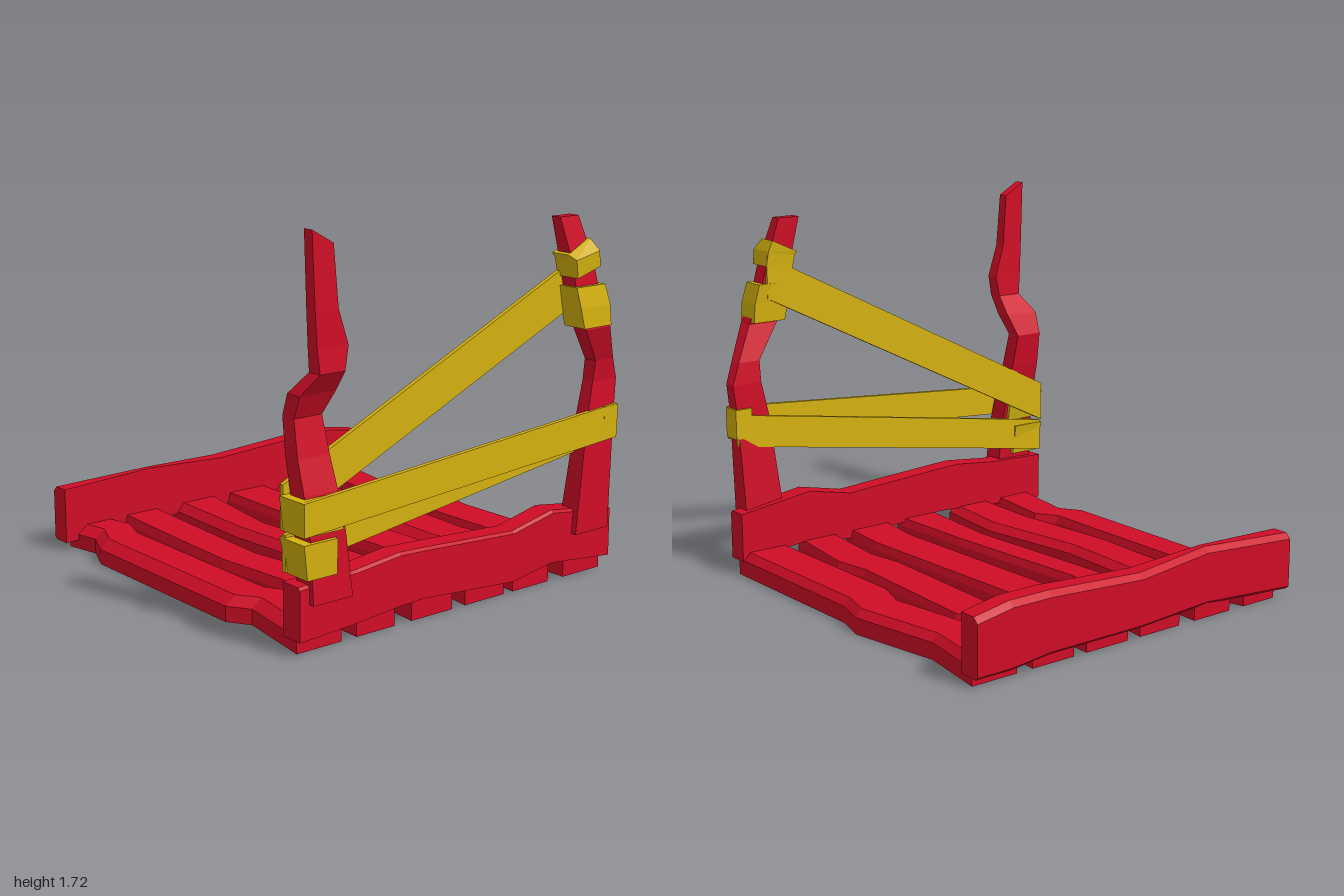
import * as THREE from 'three';

const red = new THREE.MeshStandardMaterial({ color: 0xcf0d26, flatShading: true });
const yellow = new THREE.MeshStandardMaterial({ color: 0xd4b10f, flatShading: true });

// Skin a list of rings (arrays of [x,y,z], counter-clockwise seen from the far end) and cap both ends.
function loft(rings) {
  const pos = [];
  const tri = (a, b, c) => pos.push(...a, ...b, ...c);
  const n = rings[0].length;
  for (let k = 0; k < rings.length - 1; k++) {
    const a = rings[k], b = rings[k + 1];
    for (let i = 0; i < n; i++) {
      const j = (i + 1) % n;
      tri(a[i], a[j], b[j]);
      tri(a[i], b[j], b[i]);
    }
  }
  const s = rings[0], e = rings[rings.length - 1];
  for (let i = 1; i < n - 1; i++) {
    tri(s[0], s[i + 1], s[i]);
    tri(e[0], e[i], e[i + 1]);
  }
  const g = new THREE.BufferGeometry();
  g.setAttribute('position', new THREE.Float32BufferAttribute(pos, 3));
  g.computeVertexNormals();
  return g;
}

// Floor plank along x: stations [x, zBack, zFront], top edges drawn in by the insets
const plank = (stations, inBack, inFront) => loft(stations.map(([x, z0, z1]) => [
  [x, 0, z0], [x, 0.075, z0], [x, 0.11, z0 + inBack],
  [x, 0.11, z1 - inFront], [x, 0.07, z1], [x, 0, z1]]));

// Rail along z: stations [z, x0, x1, y0, y1], outer top edge chamfered on the given side
const rail = (stations, chL, chR) => loft(stations.map(([z, x0, x1, y0, y1]) => [
  [x0 + chL * 0.5, y0, z], [x1, y0, z], [x1, y1 - chR, z],
  [x1 - chR, y1, z], [x0 + chL, y1, z], [x0, y1 - chL, z], [x0, y0 + chL * 0.5, z]]));

// Post along y: stations [y, x0, x1, z0, z1, yTilt]; yTilt raises the front edge
const post = (stations) => loft(stations.map(([y, x0, x1, z0, z1, t = 0]) => [
  [x0, y + t, z1], [x1, y + t, z1], [x1, y, z0], [x0, y, z0]]));

// Thin board along z between two ends [z, x, y0, y1]
const board = (ends, t = 0.022) => loft(ends.map(([z, x, y0, y1]) => [
  [x - t / 2, y0, z], [x + t / 2, y0, z], [x + t / 2, y1, z], [x - t / 2, y1, z]]));

export function createModel() {
  const model = new THREE.Group();
  const add = (name, geometry, material) => {
    const m = new THREE.Mesh(geometry, material);
    m.name = name;
    model.add(m);
  };

  // Floor planks, back to front
  const planks = [
    [[[-0.95, -0.87, -0.64], [-0.62, -0.82, -0.61], [-0.18, -0.9, -0.68], [-0.03, -0.86, -0.63],
      [0.83, -0.875, -0.645]], 0.03, 0.01],
    [[[-0.95, -0.56, -0.34], [-0.6, -0.53, -0.31], [-0.48, -0.6, -0.36], [0.24, -0.57, -0.34],
      [0.42, -0.6, -0.37], [0.83, -0.55, -0.33]], 0.01, 0.04],
    [[[-0.95, -0.27, -0.04], [-0.4, -0.255, -0.04], [0.55, -0.3, -0.08], [0.83, -0.275, -0.045]], 0.01, 0.012],
    [[[-0.95, 0.03, 0.26], [-0.4, 0.11, 0.28], [0.35, 0.05, 0.225], [0.83, 0.03, 0.26]], 0.012, 0.035],
    [[[-0.95, 0.35, 0.565], [-0.4, 0.375, 0.59], [-0.06, 0.39, 0.6], [0.45, 0.315, 0.55],
      [0.83, 0.355, 0.56]], 0.035, 0.012],
    [[[-0.95, 0.655, 0.845], [-0.78, 0.61, 0.81], [-0.63, 0.66, 0.875], [0.35, 0.66, 0.875],
      [0.45, 0.595, 0.81], [0.83, 0.64, 0.87]], 0.012, 0.05],
  ];
  planks.forEach(([s, b, f], i) => add(`floorPlank${i + 1}`, plank(s, b, f), red));

  // Side rails
  add('rightRail', rail([
    [-0.88, -1, -0.895, 0.04, 0.3], [-0.7, -1, -0.895, 0.04, 0.33], [-0.5, -1, -0.895, 0.06, 0.33],
    [0, -1, -0.9, 0.06, 0.3], [0.42, -0.955, -0.9, 0.06, 0.32], [0.9, -0.99, -0.89, 0.04, 0.3]], 0.025, 0), red);
  add('leftRail', rail([
    [-0.88, 0.785, 0.885, 0.07, 0.3], [-0.51, 0.78, 0.89, 0.11, 0.35], [-0.28, 0.78, 0.885, 0.07, 0.3],
    [0.25, 0.78, 0.885, 0.11, 0.33], [0.37, 0.78, 0.885, 0.105, 0.335], [0.6, 0.78, 0.885, 0.085, 0.31],
    [0.9, 0.78, 0.89, 0.07, 0.3]], 0, 0.012), red);

  // Crooked corner posts
  add('frontPost', post([
    [0.22, 0.81, 0.915, 0.65, 0.85], [0.5, 0.8, 0.9, 0.675, 0.855], [0.66, 0.78, 0.87, 0.69, 0.86],
    [0.8, 0.75, 0.83, 0.7, 0.86], [0.96, 0.725, 0.8, 0.715, 0.855], [1.06, 0.77, 0.85, 0.685, 0.865],
    [1.15, 0.845, 0.915, 0.69, 0.815], [1.25, 0.85, 0.91, 0.67, 0.825], [1.4, 0.855, 0.91, 0.72, 0.835],
    [1.655, 0.855, 0.905, 0.74, 0.845, 0.06]]), red);
  add('backPost', post([
    [0.22, 0.81, 0.915, -0.835, -0.63], [0.75, 0.845, 0.915, -0.85, -0.685], [0.9, 0.845, 0.905, -0.87, -0.72],
    [1.0, 0.855, 0.92, -0.83, -0.72], [1.16, 0.905, 0.98, -0.74, -0.59], [1.3, 0.885, 0.96, -0.69, -0.55],
    [1.45, 0.87, 0.95, -0.655, -0.53], [1.65, 0.86, 0.91, -0.595, -0.485]]), red);

  // Boards between the posts
  add('outerBoard', board([[-0.86, 0.915, 0.635, 0.79], [0.9, 0.91, 0.51, 0.65]]), yellow);
  add('innerBoard', board([[-0.85, 0.85, 0.61, 0.76], [0.89, 0.775, 0.335, 0.49]]), yellow);
  add('diagonalBoard', board([[-0.66, 0.875, 1.28, 1.48], [0.88, 0.75, 0.5, 0.69]]), yellow);

  // Bindings around the posts
  const bindings = [
    ['frontUpperBinding', [[0.51, 0.785, 0.915, 0.7, 0.9], [0.65, 0.76, 0.92, 0.7, 0.9]]],
    ['frontLowerBinding', [[0.33, 0.785, 0.915, 0.73, 0.88], [0.48, 0.76, 0.92, 0.73, 0.9]]],
    ['backLowerBinding', [[0.645, 0.835, 0.925, -0.865, -0.78], [0.785, 0.835, 0.927, -0.865, -0.78]]],
    ['backMiddleBinding', [[1.17, 0.875, 0.995, -0.73, -0.565], [1.26, 0.87, 0.99, -0.725, -0.545],
      [1.35, 0.86, 0.975, -0.705, -0.53]]],
    ['backTopBinding', [[1.43, 0.86, 0.98, -0.665, -0.53, -0.04], [1.5, 0.855, 0.985, -0.655, -0.515, -0.03],
      [1.55, 0.85, 0.945, -0.635, -0.505, -0.06]]],
  ];
  bindings.forEach(([name, s]) => add(name, post(s), yellow));

  return model;
}
